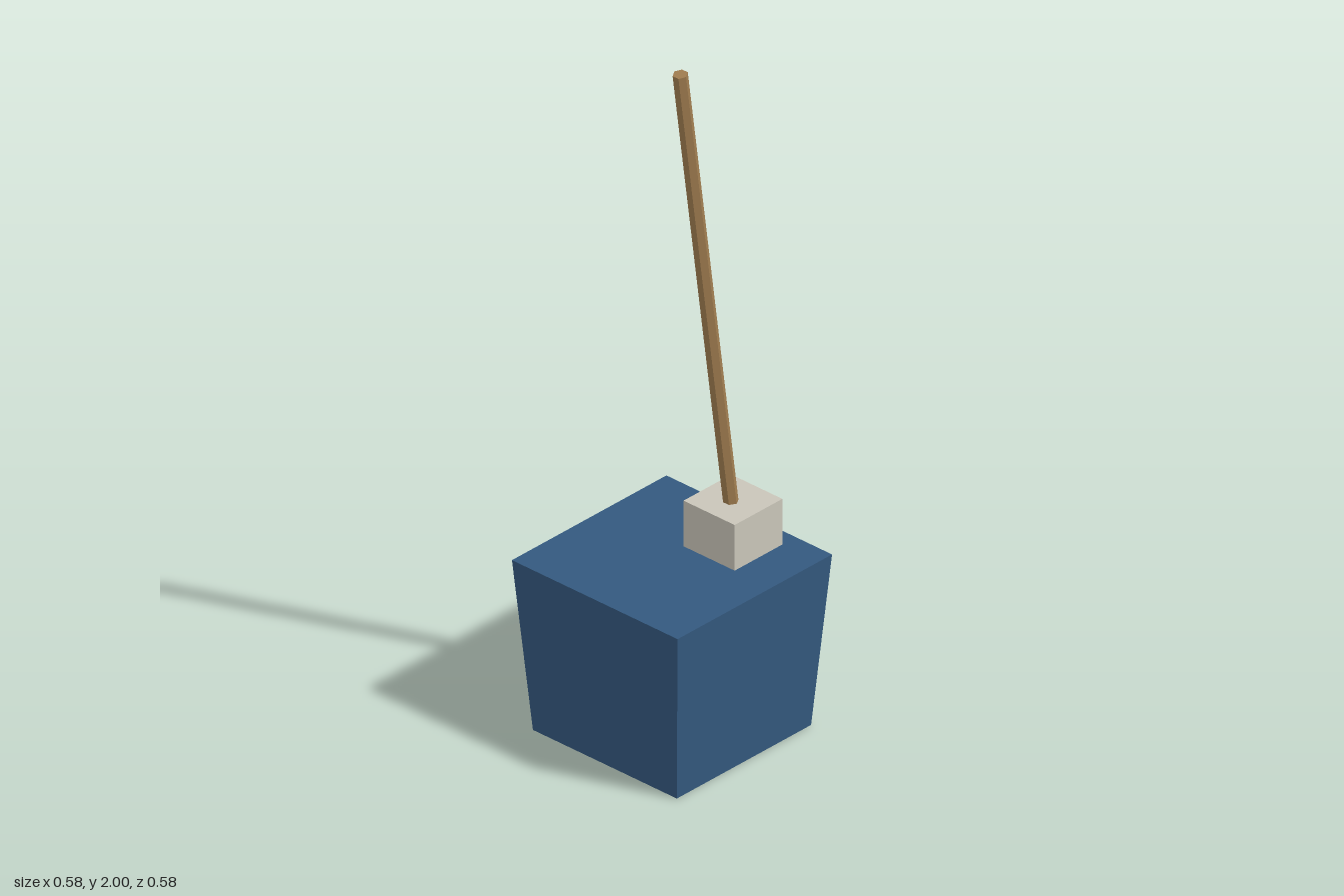
import * as THREE from 'three';

export function createModel() {
  const model = new THREE.Group();
  const material = (name, color) => {
    const m = new THREE.MeshStandardMaterial({ color, flatShading: true });
    m.name = name;
    return m;
  };
  const blue = material('bucketBlue', 0x34597f);
  const cream = material('mopCream', 0xc9c5b9);
  const wood = material('handleWood', 0xa07d50);

  const add = (name, geometry, mat) => {
    const mesh = new THREE.Mesh(geometry, mat);
    mesh.name = name;
    model.add(mesh);
    return mesh;
  };

  // Square bucket, wider at the top
  const bottomHalf = 0.252, topHalf = 0.29, bucketHeight = 0.507;
  const bucket = new THREE.CylinderGeometry(topHalf * Math.SQRT2, bottomHalf * Math.SQRT2, bucketHeight, 4);
  bucket.rotateY(Math.PI / 4);
  add('bucket', bucket, blue).position.y = bucketHeight / 2;

  // Mop head block resting on the back of the bucket
  const headHeight = 0.136;
  add('mopHead', new THREE.BoxGeometry(0.179, headHeight, 0.179), cream)
    .position.set(0.0735, bucketHeight + headHeight / 2, -0.15);

  // Six-sided handle leaning towards the front
  const foot = new THREE.Vector3(0.0735, 0.57, -0.152);
  const tip = new THREE.Vector3(0.0735, 1.9975, 0.048);
  const shaft = new THREE.CylinderGeometry(0.0205, 0.0205, foot.distanceTo(tip), 6);
  shaft.rotateY(Math.PI / 2);
  const handle = add('handle', shaft, wood);
  handle.position.copy(foot).lerp(tip, 0.5);
  handle.rotation.x = Math.atan2(tip.z - foot.z, tip.y - foot.y);

  return model;
}
